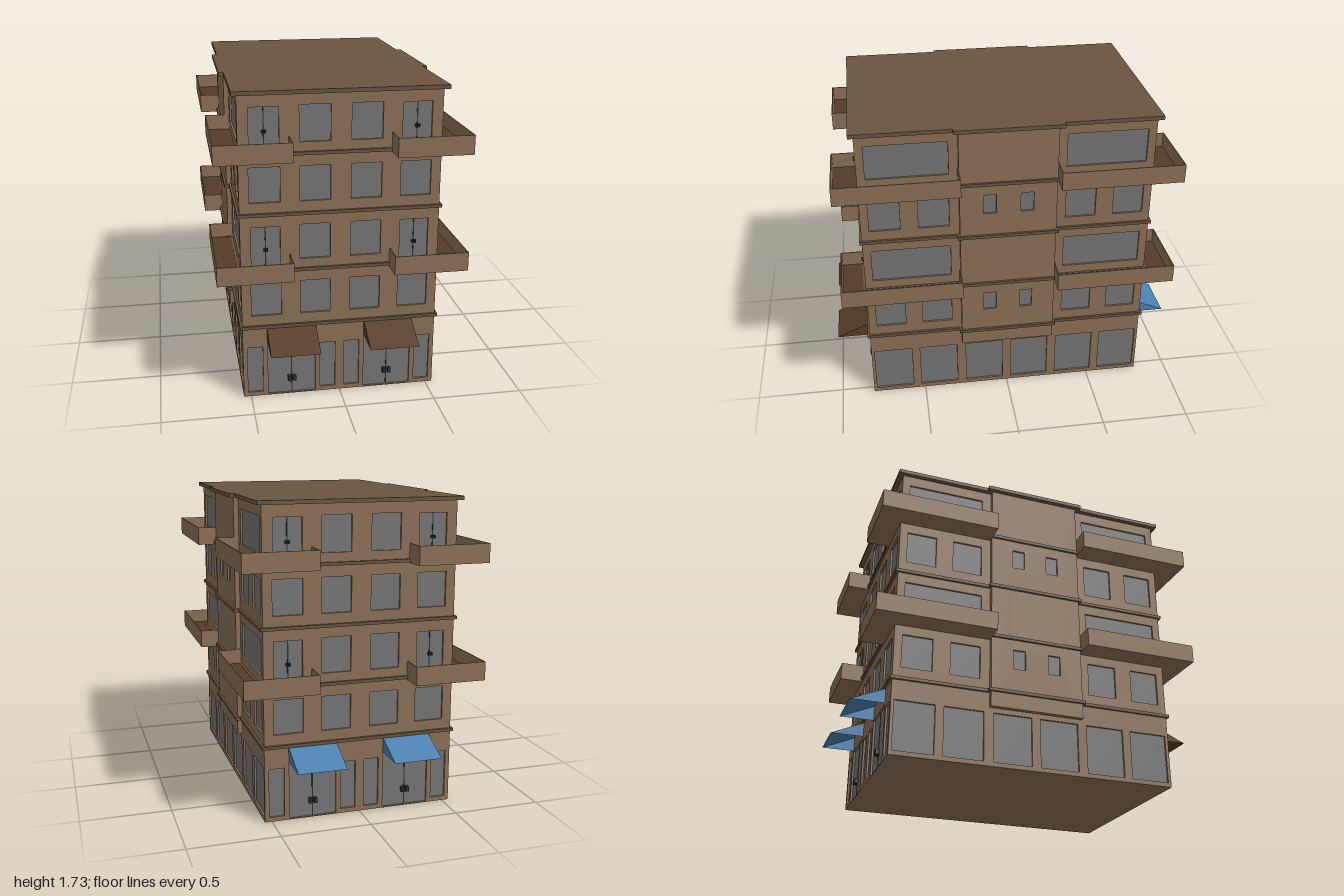
import * as THREE from 'three';

const mat = (color, side = THREE.FrontSide) => new THREE.MeshStandardMaterial({ color, side, flatShading: true });
const WALL = mat(0x8b7056), TRIM = mat(0x6a543f), FLOOR = mat(0x533c27);
const GLASS = mat(0x757575), DARK = mat(0x2e2e2e);
const AWNING_FRONT = mat(0x553c25, THREE.DoubleSide), AWNING_BACK = mat(0x4a80b0, THREE.DoubleSide);

const HX = 0.54, HZ = 0.81, TOP = 1.71, RECESS = 0.015, STOREY_PAIR = 0.645;
const BAY = 0.27, BAY_OUT = 0.027;

// Box given by its two extreme corners, in any order
function box(parent, name, material, x0, x1, y0, y1, z0, z1) {
  const g = new THREE.BoxGeometry(Math.abs(x1 - x0), Math.abs(y1 - y0), Math.abs(z1 - z0));
  const m = new THREE.Mesh(g, material);
  m.position.set((x0 + x1) / 2, (y0 + y1) / 2, (z0 + z1) / 2);
  m.name = name;
  parent.add(m);
  return m;
}

// Wall with rectangular openings [x0, x1, y0, y1], each closed by a recessed pane
function wall(parent, name, halfWidth, y0, y1, zBack, depth, openings) {
  const s = new THREE.Shape();
  s.moveTo(-halfWidth, y0).lineTo(halfWidth, y0).lineTo(halfWidth, y1).lineTo(-halfWidth, y1).closePath();
  for (const [a, b, c, d] of openings) {
    const h = new THREE.Path();
    h.moveTo(a, c).lineTo(a, d).lineTo(b, d).lineTo(b, c).closePath();
    s.holes.push(h);
    box(parent, 'windowPane', GLASS, a, b, c, d, zBack, zBack + depth - 0.011);
  }
  const m = new THREE.Mesh(new THREE.ExtrudeGeometry(s, { depth, bevelEnabled: false }), WALL);
  m.position.z = zBack;
  m.name = name;
  parent.add(m);
}

// Openings mirrored about the middle of a wall
const mirrored = (list) => list.flatMap(([a, b, c, d]) => [[a, b, c, d], [-b, -a, c, d]]);

// Centre seam and a pair of handles for a double door
function doorFittings(parent, x, y0, y1, yHandle, size) {
  box(parent, 'doorSeam', DARK, x - 0.003, x + 0.003, y0, y1, HZ - 0.012, HZ - 0.009);
  for (const s of [-1, 1]) {
    const hx = x + s * size * 0.75;
    box(parent, 'doorHandle', DARK, hx - size / 2, hx + size / 2,
      yHandle - size * 0.8, yHandle + size * 0.8, HZ - 0.011, HZ + 0.012);
  }
}

// Sloping cloth with two triangular cheeks, open underneath
function awning(parent, xc, material) {
  const a = xc - 0.135, b = xc + 0.135, yt = 0.415, yb = 0.33, z0 = HZ, z1 = 1.0;
  const g = new THREE.BufferGeometry();
  g.setAttribute('position', new THREE.Float32BufferAttribute([
    a, yt, z0, b, yt, z0, a, yb, z1, b, yb, z1, a, yb, z0, b, yb, z0], 3));
  g.setIndex([0, 2, 3, 0, 3, 1, 0, 4, 2, 1, 3, 5]);
  const flat = g.toNonIndexed();
  flat.computeVertexNormals();
  const m = new THREE.Mesh(flat, material);
  m.name = 'awning';
  parent.add(m);
}

// Short facade with shop doors, awnings and balcony doors
function endFacade(awningMaterial) {
  const f = new THREE.Group();
  const open = [[0.025, 0.11, 0.025, 0.3], [0.43, 0.515, 0.025, 0.3], [0.137, 0.403, 0.005, 0.325]];
  for (const dy of [0, STOREY_PAIR]) {
    open.push([0.055, 0.22, 0.49 + dy, 0.682 + dy], [0.322, 0.487, 0.49 + dy, 0.682 + dy]);
    open.push([0.055, 0.22, 0.81 + dy, 1.005 + dy], [0.325, 0.482, 0.76 + dy, 1.0 + dy]);
  }
  wall(f, 'endWall', HX, 0, TOP, HZ - RECESS, RECESS, mirrored(open));
  for (const s of [-1, 1]) {
    doorFittings(f, s * 0.27, 0.005, 0.325, 0.097, 0.018);
    for (const dy of [0, STOREY_PAIR]) doorFittings(f, s * 0.404, 0.76 + dy, 1.0 + dy, 0.872 + dy, 0.009);
    awning(f, s * 0.27, awningMaterial);
  }
  return f;
}

// Long facade with a projecting stair bay in the middle
function sideFacade() {
  const f = new THREE.Group();
  const open = [0.025, 0.3, 0.57].map((a) => [a, a + 0.222, 0.025, 0.302]);
  const bayOpen = [];
  for (const dy of [0, STOREY_PAIR]) {
    open.push([0.325, 0.495, 0.49 + dy, 0.682 + dy], [0.595, 0.765, 0.49 + dy, 0.682 + dy]);
    open.push([0.322, 0.765, 0.81 + dy, 1.005 + dy]);
    bayOpen.push([0.068, 0.14, 0.567 + dy, 0.682 + dy]);
  }
  wall(f, 'sideWall', HZ - RECESS, 0, TOP, HX - RECESS, RECESS, mirrored(open));
  wall(f, 'stairBay', BAY, 0.33, TOP, HX, BAY_OUT, mirrored(bayOpen));
  return f;
}

// L-shaped corner balcony with a thin parapet
function balcony(sx, sz, y) {
  const g = new THREE.Group();
  g.name = 'balcony';
  const t = 0.006, i = BAY, ox = 0.675, oz = 0.945, h = y + 0.105, fl = y + 0.02;
  const part = (name, m, x0, x1, y0, y1, z0, z1) => box(g, name, m, sx * x0, sx * x1, y0, y1, sz * z0, sz * z1);
  // Slab, then the darker paving on it
  for (const [name, m, y0, y1] of [['balconySlab', WALL, y, fl - 0.004], ['balconyFloor', FLOOR, fl - 0.004, fl + 0.003]]) {
    part(name, m, i + t, ox - t, y0, y1, HZ, oz - t);
    part(name, m, HX, ox - t, y0, y1, i + t, HZ);
  }
  part('frontParapet', WALL, i, ox, y, h, oz - t, oz);
  part('sideParapet', WALL, ox - t, ox, y, h, i, oz - t);
  part('frontParapetEnd', WALL, i, i + t, y, h, HZ, oz - t);
  part('sideParapetEnd', WALL, HX, ox - t, y, h, i, i + t);
  return g;
}

// Horizontal slab that follows the body and the stair bays
function ledge(parent, name, y0, y1, out) {
  const shape = new THREE.Shape();
  const x = HX + out, z = HZ + out, bx = HX + BAY_OUT + out, bz = BAY + out;
  const quarter = [[x, z], [x, bz], [bx, bz]];
  const right = [...quarter, ...quarter.map(([a, b]) => [a, -b]).reverse()];
  const ring = [...right, ...right.map(([a, b]) => [-a, -b])];
  shape.setFromPoints(ring.map(([a, b]) => new THREE.Vector2(a, b)));
  const m = new THREE.Mesh(new THREE.ExtrudeGeometry(shape, { depth: y1 - y0, bevelEnabled: false }), TRIM);
  m.rotation.x = -Math.PI / 2;
  m.position.y = y0;
  m.name = name;
  parent.add(m);
}

export function createModel() {
  const model = new THREE.Group();
  model.name = 'apartmentBuilding';

  // Solid core behind the facades
  const cx = HX - RECESS, cz = HZ - RECESS;
  box(model, 'core', WALL, -cx, cx, 0, TOP, -cz, cz);

  // Four facades
  const facades = [
    ['frontFacade', endFacade(AWNING_FRONT), 0], ['backFacade', endFacade(AWNING_BACK), Math.PI],
    ['leftFacade', sideFacade(), Math.PI / 2], ['rightFacade', sideFacade(), -Math.PI / 2]];
  for (const [name, f, turn] of facades) {
    f.name = name;
    f.rotation.y = turn;
    model.add(f);
  }

  // Storey ledges and roof
  for (const y of [0.415, 0.742, 1.06, 1.387]) ledge(model, 'storeyLedge', y, y + 0.018, 0.013);
  ledge(model, 'roofSlab', TOP, 1.732, 0.027);

  // Corner balconies on two levels
  for (const y of [0.735, 0.735 + STOREY_PAIR + 0.003])
    for (const sx of [-1, 1]) for (const sz of [-1, 1]) model.add(balcony(sx, sz, y));

  return model;
}
